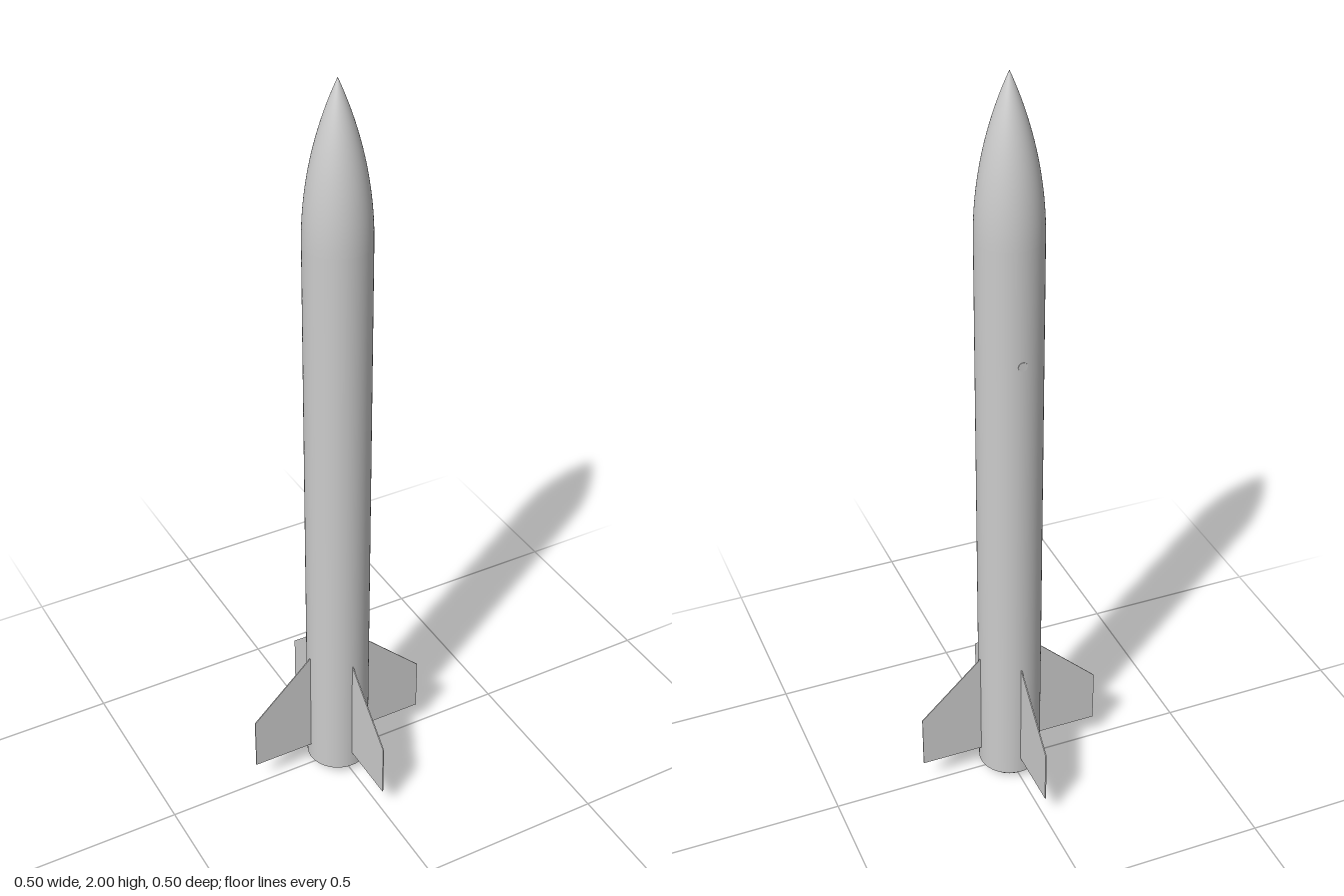
import * as THREE from 'three';

const R = 0.084;
const mat = new THREE.MeshStandardMaterial({ color: 0xcccccc });

function add(parent, name, geometry) {
  const mesh = new THREE.Mesh(geometry, mat);
  mesh.name = name;
  parent.add(mesh);
  return mesh;
}

const lathe = (points) =>
  new THREE.LatheGeometry(points.map(([r, y]) => new THREE.Vector2(r, y)), 64);

export function createModel() {
  const group = new THREE.Group();

  // Nose cone: tangent ogive
  const noseBase = 1.6, length = 2 - noseBase;
  const rho = (R * R + length * length) / (2 * R);
  const ogive = [];
  for (let i = 0; i <= 24; i++) {
    const h = (length * i) / 24;
    const r = Math.sqrt(rho * rho - h * h) + R - rho;
    ogive.push([i === 24 ? 0 : r, noseBase + h]);
  }
  add(group, 'noseCone', lathe(ogive));

  // Body tubes, meeting at the joints
  add(group, 'lowerBodyTube', lathe([[R, 0.022], [R, 1.03]]));
  add(group, 'upperBodyTube', lathe([[R, 1.03], [R, 1.52]]));
  add(group, 'noseShoulder', lathe([[R, 1.52], [R, noseBase]]));

  // Tail: chamfer, flat rim and recessed nozzle, each its own lathe for sharp edges
  const tail = new THREE.Group();
  tail.name = 'tail';
  group.add(tail);
  const rings = [
    ['tailChamfer', [0.066, 0.004], [R, 0.022]],
    ['tailPlate', [0.048, 0.004], [0.066, 0.004]],
    ['nozzleLip', [0.042, 0], [0.048, 0.004]],
    ['nozzleCone', [0.022, 0.025], [0.042, 0]],
    ['nozzleThroat', [0, 0.025], [0.022, 0.025]],
  ];
  for (const [name, a, b] of rings) add(tail, name, lathe([a, b]));

  // Four thin clipped fins
  const shape = new THREE.Shape();
  shape.moveTo(R - 0.006, 0.07);
  shape.lineTo(0.252, 0.07);
  shape.lineTo(0.252, 0.22);
  shape.lineTo(R, 0.38);
  shape.lineTo(R - 0.006, 0.386);
  const thickness = 0.003;
  const finGeometry = new THREE.ExtrudeGeometry(shape, { depth: thickness, bevelEnabled: false });
  finGeometry.translate(0, 0, -thickness / 2);
  for (let i = 0; i < 4; i++) {
    add(group, 'fin', finGeometry).rotation.y = (i * Math.PI) / 2;
  }

  // Small flush port on the back of the tube
  const port = add(group, 'port', new THREE.CylinderGeometry(0.012, 0.012, 0.004, 20));
  port.rotation.x = -Math.PI / 2;
  port.position.set(0, 1.3, -R + 0.001);

  return group;
}
